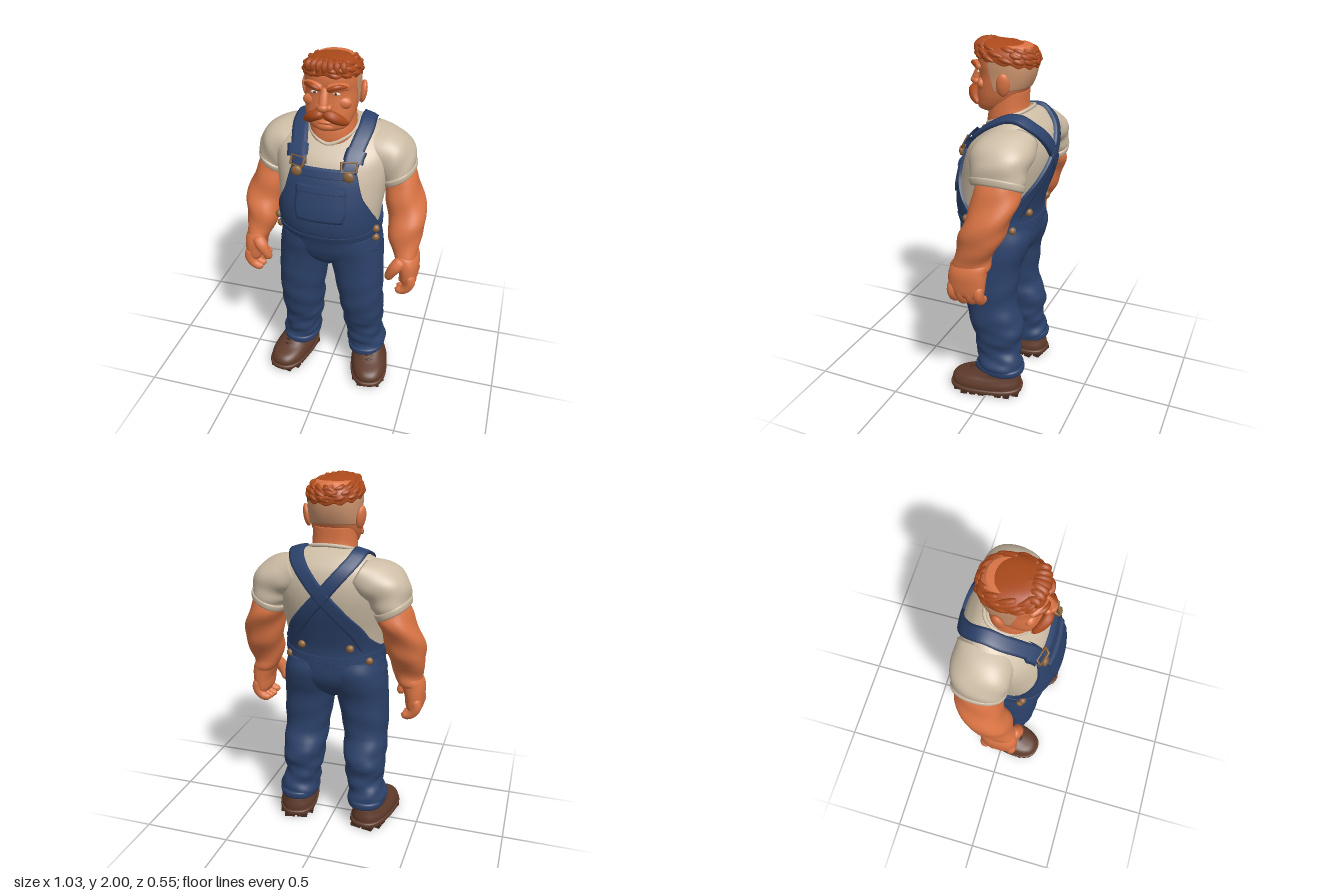
import * as THREE from 'three';
import { mergeVertices, mergeGeometries } from 'three/addons/utils/BufferGeometryUtils.js';

const V = (x, y, z) => new THREE.Vector3(x, y, z);
const { PI, sin, cos, abs, sign, min, max, sqrt } = Math;

// Smooth interpolation of rows keyed by their first column
function at(rows, t) {
  const n = rows.length - 1;
  let i = 0;
  while (i < n - 1 && t > rows[i + 1][0]) i++;
  const a = rows[i], b = rows[i + 1], z = rows[max(i - 1, 0)], c = rows[min(i + 2, n)];
  const h = b[0] - a[0], s = min(1, max(0, (t - a[0]) / h));
  return a.map((v, k) => {
    const m0 = (b[k] - z[k]) / (b[0] - z[0]) * h, m1 = (c[k] - v) / (c[0] - a[0]) * h;
    return v + s * (m0 + s * (3 * (b[k] - v) - 2 * m0 - m1 + s * (2 * (v - b[k]) + m0 + m1)));
  });
}
// Surface from a rule giving the point at column i, row j
function grid(nu, nv, fn) {
  const pos = [], idx = [];
  for (let j = 0; j <= nv; j++) for (let i = 0; i <= nu; i++) pos.push(...fn(i, j).toArray());
  for (let j = 0; j < nv; j++) for (let i = 0; i < nu; i++) {
    const a = j * (nu + 1) + i, b = a + nu + 1;
    idx.push(a, b, a + 1, a + 1, b, b + 1);
  }
  const raw = new THREE.BufferGeometry().setAttribute('position', new THREE.Float32BufferAttribute(pos, 3)).setIndex(idx);
  const g = mergeVertices(raw, 1e-5);
  g.computeVertexNormals();
  return g;
}
// Section rows: [y, centre x, half width, front z, back z, roundness, tilt]
const sections = rows => rows.map(([y, cx, rx, zf, zb, p = 2.3, tilt = 0]) => [y, cx, rx, zf, zb, p, tilt]);
function ring([y, cx, rx, zf, zb, p, tilt], a, off = 0) {
  const c = cos(a), s = sin(a), x = (rx + off) * sign(c) * abs(c) ** (2 / p);
  return V(cx + x * cos(tilt), y + x * sin(tilt), (zf + zb) / 2 + ((zf - zb) / 2 + off) * sign(s) * abs(s) ** (2 / p));
}
function loft(raw, fold = () => 0, steps = 48, seg = 44) {
  const rows = sections(raw), y0 = rows[0][0], y1 = rows.at(-1)[0];
  return grid(seg, steps + 2, (i, j) => {
    const r = at(rows, y0 + (y1 - y0) * min(1, max(0, (j - 1) / steps))), a = i / seg * 2 * PI;
    return j === 0 || j === steps + 2 ? V(r[1], r[0], (r[3] + r[4]) / 2) : ring(r, a, fold(r[0], a));
  });
}
// Layer over a loft between two heights that vary with the angle
function shell(raw, off, lo, hi, a0 = 0, a1 = 2 * PI, seg = 140, steps = 24) {
  const rows = sections(raw);
  return grid(seg, steps + 2, (i, j) => {
    const a = a0 + (a1 - a0) * i / seg, t = min(1, max(0, (j - 1) / steps)), l = lo(a);
    return ring(at(rows, l + (hi(a) - l) * t), a, j === 0 || j === steps + 2 ? -0.008 : off);
  });
}
// Rounded tapering tube through points
function limb(pts, radii, seg = 12, steps = 20) {
  const curve = new THREE.CatmullRomCurve3(pts.map(p => V(...p)));
  const f = curve.computeFrenetFrames(steps), rr = radii.map((r, i) => [i / (radii.length - 1), r]);
  return grid(seg, steps, (i, j) => {
    const t = j / steps, e = min(1, t * 6, (1 - t) * 6), r = at(rr, t)[1] * sqrt(max(0, 1 - (1 - e) ** 2)), a = -i / seg * 2 * PI;
    return curve.getPointAt(t).addScaledVector(f.normals[j], r * cos(a)).addScaledVector(f.binormals[j], r * sin(a));
  });
}
const ball = (x, y, z, sx, sy, sz) => new THREE.SphereGeometry(1, 20, 14).deleteAttribute('uv').scale(sx, sy, sz).translate(x, y, z);
function mirrored(g) {
  const m = g.clone().scale(-1, 1, 1), ix = m.index.array;
  for (let i = 0; i < ix.length; i += 3) [ix[i], ix[i + 1]] = [ix[i + 1], ix[i]];
  return m;
}
const TORSO = sections([[1.0, 0, .262, .215, -.18], [1.1, 0, .268, .245, -.18], [1.2, 0, .28, .245, -.205], [1.3, 0, .295, .225, -.235],
  [1.4, 0, .31, .195, -.255], [1.48, 0, .31, .155, -.255], [1.55, 0, .285, .08, -.235], [1.595, 0, .23, .02, -.2],
  [1.625, 0, .17, -.035, -.168], [1.65, 0, .03, -.09, -.12]]);
// Drops a point onto the torso, then lifts it by off
function drape(p, off) {
  const c = V(0, min(p.y, 1.4), -.03), d = p.clone().sub(c).normalize();
  let lo = 0, hi = .7;
  for (let k = 0; k < 24; k++) {
    const m = (lo + hi) / 2, q = c.clone().addScaledVector(d, m), [, , rx, zf, zb, e] = at(TORSO, q.y);
    const inside = q.y < 1.65 && abs(q.x / rx) ** e + abs((q.z - (zf + zb) / 2) / ((zf - zb) / 2)) ** e < 1;
    if (inside) lo = m; else hi = m;
  }
  return c.addScaledVector(d, lo + off);
}
// Raised cloth plate on the chest; half(t) gives its half width
function plate(y0, y1, half, off) {
  return grid(18, 14, (i, j) => {
    const t = min(1, max(0, (j - 1) / 12)), u = min(1, max(-1, (i - 9) / 8));
    return drape(V(-u * half(t), y0 + (y1 - y0) * t, .25), i % 18 === 0 || j % 14 === 0 ? .006 : off);
  });
}
function ribbon(pts, w, off) {
  const curve = new THREE.CatmullRomCurve3(pts.map(p => V(...p)));
  return grid(8, 60, (i, j) => {
    const t = j / 60, p = curve.getPointAt(t), n = p.clone().sub(V(0, min(p.y, 1.4), -.03)).normalize();
    const side = n.cross(curve.getTangentAt(t)).normalize(), u = min(1, max(-1, (i - 4) / 3));
    return drape(p.addScaledVector(side, u * w), i % 8 === 0 ? -.006 : off);
  });
}
// Straight-line lookup in a table of pairs
function linear(tab, t) {
  const i = max(1, tab.findIndex(r => r[0] >= t - 1e-9)), a = tab[i - 1], b = tab[i];
  return a[1] + (b[1] - a[1]) * (t - a[0]) / (b[0] - a[0]);
}

export function createModel() {
  const root = new THREE.Group();
  const mat = (name, color, side = THREE.FrontSide) => Object.assign(new THREE.MeshStandardMaterial({ color, side }), { name });
  const skin = mat('skin', 0xda7444), denim = mat('denim', 0x2c426b, THREE.DoubleSide), shirt = mat('shirt cream', 0xcdbda6);
  const hair = mat('ginger hair', 0xac4a1b), stubble = mat('shaved hair', 0xcf9670, THREE.DoubleSide), leather = mat('leather', 0x5f3b2b);
  const sole = mat('sole', 0x452c21), brass = mat('brass', 0x8c6339), white = mat('eye white', 0xe6dccb);
  const add = (name, g, m) => root.add(Object.assign(new THREE.Mesh(g, m), { name }));
  const pair = (name, g, m) => { add(name + 'Left', g, m); add(name + 'Right', mirrored(g), m); };

  // Shirt
  add('shirtBody', loft(TORSO), shirt);
  pair('sleeve', loft([[1.325, .345, .093, .045, -.222, 2.2, .47], [1.35, .34, .1, .053, -.228, 2.2, .47], [1.4, .327, .113, .06, -.235, 2.2, .6],
    [1.45, .295, .118, .07, -.24, 2.2, .78], [1.485, .24, .11, .07, -.245, 2.2, .95], [1.52, .17, .085, .04, -.24, 2.2, 1.1]],
    (y, a) => .003 * sin(y * 60 + a * 3)), shirt);
  pair('sleeveCuff', loft([[1.318, .347, .094, .046, -.224, 2.2, .47], [1.324, .346, .1, .052, -.23, 2.2, .47],
    [1.35, .34, .106, .058, -.234, 2.2, .47], [1.357, .338, .1, .05, -.228, 2.2, .47]], undefined, 12), shirt);
  const collar = new THREE.CatmullRomCurve3([[0, 1.54, .1], [.08, 1.57, .072], [.128, 1.61, -.02], [.1, 1.642, -.11],
    [0, 1.655, -.14], [-.1, 1.642, -.11], [-.128, 1.61, -.02], [-.08, 1.57, .072]].map(p => V(...p)), true);
  add('collar', new THREE.TubeGeometry(collar, 60, .01, 8, true), shirt);

  // Overalls: bib, back panel and sides in one layer whose top edge follows the angle
  const bibEdge = [[0, 1.44], [.48, 1.44], [.56, 1.36], [.64, 1.3], [.8, 1.23], [.915, 1.17], [1, 1.1]];
  const backEdge = [[0, 1.43], [.1, 1.41], [.28, 1.345], [.5, 1.265], [.75, 1.18], [1, 1.1]];
  const topEdge = a => linear(sin(a) >= 0 ? bibEdge : backEdge, min(1, abs(cos(a))));
  const hemEdge = a => 1.022 + .03 * cos(a) ** 2;
  add('bibAndBackPanel', shell(TORSO, .014, hemEdge, topEdge), denim);
  add('waistband', shell(TORSO, .019, hemEdge, a => hemEdge(a) + .04), denim);
  add('bibHem', plate(1.4, 1.44, () => .172, .021), denim);
  add('bibPocket', plate(1.17, 1.35, t => .12 + .022 * min(1, t * 3), .027), denim);
  add('bibPocketHem', plate(1.325, 1.357, () => .146, .031), denim);
  pair('strap', ribbon([[.137, 1.44, .19], [.15, 1.5, .15], [.165, 1.56, .08], [.175, 1.605, 0], [.172, 1.635, -.09],
    [.15, 1.595, -.2], [.08, 1.51, -.26], [0, 1.415, -.265], [-.1, 1.3, -.24], [-.17, 1.21, -.19], [-.22, 1.12, -.14]], .036, .018), denim);
  pair('strapFold', ribbon([[.147, 1.485, .16], [.152, 1.51, .145], [.157, 1.535, .115]], .043, .034), denim);
  const frame = drape(V(.147, 1.472, .2), .03).toArray();
  pair('buckle', new THREE.TorusGeometry(.055, .008, 8, 4).rotateZ(PI / 4).scale(1, .62, 1).rotateX(-.5).rotateY(.3).translate(...frame), brass);
  pair('bibButton', ball(...drape(V(.138, 1.418, .2), .026).toArray(), .029, .029, .016), brass);
  const studs = [[.25, 1.09, .11], [.255, 1.025, .1], [.15, 1.12, -.2], [.24, 1.04, -.13]];
  pair('sideButtons', mergeGeometries(studs.map(p => ball(...drape(V(...p), .019).toArray(), .022, .022, .02))), brass);

  // Trousers
  const pelvis = sections([[.79, 0, .04, .1, -.08], [.85, 0, .17, .168, -.145], [.92, 0, .28, .205, -.182], [1, 0, .276, .226, -.19], [1.05, 0, .27, .238, -.186]]);
  const folds = (y, a) => .007 * sin(y * 42 + a * 2) * max(0, 1 - y / .85) + .006 * sin(y * 75 - a * 3) * max(0, 1 - y / .5);
  add('hips', loft(pelvis), denim);
  pair('trouserLeg', loft([[.13, .205, .093, .08, -.16], [.15, .208, .102, .092, -.178], [.19, .208, .106, .092, -.18], [.235, .198, .104, .092, -.16],
    [.3, .188, .104, .102, -.155], [.4, .186, .117, .125, -.168], [.48, .181, .121, .15, -.155], [.56, .177, .124, .165, -.122],
    [.7, .165, .136, .18, -.13], [.8, .152, .144, .186, -.142], [.88, .138, .155, .194, -.17], [.96, .125, .155, .21, -.188],
    [1.03, .115, .15, .215, -.175]], folds, 90), denim);
  pair('trouserHem', loft([[.128, .205, .094, .082, -.165], [.135, .207, .106, .096, -.182], [.17, .209, .109, .098, -.186], [.178, .208, .1, .09, -.178]], undefined, 10), denim);
  const pocketLine = [[.98, 1.015], [.9, 1.0], [.72, .975], [.5, .95], [.25, .925]].map(([a, y]) => ring(at(pelvis, y), a, .003).toArray());
  pair('pocketEdge', limb(pocketLine, [.007, .007], 6), denim);

  // Arms and hands
  pair('arm', loft([[.865, .43, .03, .08, -.02], [.885, .428, .06, .118, -.068], [.95, .416, .075, .113, -.085], [1.02, .412, .094, .1, -.115],
    [1.08, .411, .104, .082, -.148], [1.13, .405, .104, .064, -.168], [1.2, .387, .102, .046, -.19], [1.28, .359, .097, .025, -.213],
    [1.36, .335, .085, .02, -.2], [1.42, .315, .07, 0, -.18]], (y, a) => .005 * sin(y * 34 + a * 2)), skin);
  pair('palm', loft([[.735, .452, .035, .115, -.05], [.76, .452, .048, .13, -.058], [.82, .451, .055, .14, -.066], [.88, .44, .064, .136, -.07],
    [.93, .422, .06, .112, -.075], [.965, .416, .03, .06, -.04]]), skin);
  const fingers = [.112, .062, .012, -.036].map((z, i) => limb([[.458, .82, z], [.472, .765, z], [.455, .715 + .006 * abs(i - 1), z],
    [.423, .692 + .008 * abs(i - 1), z], [.39, .7 + .008 * abs(i - 1), z]], [.028, .03, .026, .02]));
  pair('fingers', mergeGeometries(fingers), skin);
  pair('thumb', limb([[.425, .9, .1], [.39, .86, .125], [.362, .81, .125], [.347, .765, .11]], [.035, .036, .028, .022]), skin);

  // Boots, turned slightly outward
  const place = g => g.rotateY(.2).translate(.235, 0, 0);
  pair('boot', place(loft([[.035, 0, .104, .228, -.173, 2.5], [.07, 0, .106, .232, -.175, 2.4], [.1, 0, .097, .205, -.17], [.122, 0, .087, .14, -.165],
    [.16, 0, .08, .065, -.15], [.2, 0, .07, .04, -.13]])), leather);
  pair('bootWelt', place(loft([[.016, 0, .104, .234, -.178, 2.6], [.022, 0, .111, .24, -.183, 2.6], [.042, 0, .111, .24, -.183, 2.6], [.047, 0, .104, .23, -.175, 2.6]], undefined, 8)), leather);
  const treads = [-.15, -.102, -.054, .047, .097, .147, .197].flatMap((z, k) => [-1, 1].map(s =>
    new THREE.BoxGeometry(k % 6 ? .088 : .06, .022, .036).translate(s * (k % 6 ? .052 : .036), .011, z)));
  pair('bootTread', place(mergeGeometries(treads)), sole);
  const laces = [[.095, .142], [.07, .155], [.12, .128]].map(([z, y]) => limb([[-.05, y - .018, z - .01], [0, y, z], [.05, y - .018, z - .01]], [.007, .007], 8));
  pair('bootLaces', place(mergeGeometries(laces)), sole);

  // Neck and head
  add('neck', loft([[1.48, 0, .1, .08, -.12], [1.54, 0, .118, .097, -.13], [1.6, 0, .122, .095, -.13], [1.66, 0, .118, .08, -.115], [1.74, 0, .112, .06, -.115]]), skin);
  const head = [[1.625, 0, .06, .125, .02], [1.645, 0, .1, .15, -.02], [1.7, 0, .125, .152, -.085], [1.76, 0, .134, .146, -.125],
    [1.82, 0, .136, .14, -.15], [1.88, 0, .137, .148, -.16], [1.93, 0, .13, .14, -.155], [1.97, 0, .09, .1, -.12]];
  add('head', loft(head), skin);
  add('shavedSides', shell(head, .004, a => 1.745 - .015 * sin(a) + .11 * max(0, sin(a) * 3), () => 1.92, PI - .3, 2 * PI + .3), stubble);
  pair('ear', ball(0, 0, 0, .02, .06, .035).rotateZ(-.15).rotateY(.35).translate(.146, 1.788, -.038), skin);
  add('nose', mergeGeometries([limb([[0, 1.86, .138], [0, 1.81, .163], [0, 1.765, .178]], [.02, .023, .028]),
    ball(0, 1.77, .18, .03, .023, .026), ball(.025, 1.765, .163, .017, .017, .02), ball(-.025, 1.765, .163, .017, .017, .02)]), skin);
  pair('cheek', ball(.075, 1.775, .1, .05, .035, .03), skin);
  pair('browRidge', limb([[.008, 1.853, .148], [.06, 1.866, .142], [.112, 1.858, .1]], [.02, .022, .016]), skin);
  add('chin', ball(0, 1.655, .125, .06, .028, .034), skin);
  add('lowerLip', ball(0, 1.682, .152, .035, .011, .012), skin);
  pair('eye', ball(.055, 1.828, .132, .02, .007, .009), white);
  pair('pupil', ball(.053, 1.829, .139, .007, .006, .004), sole);
  pair('eyebrow', limb([[.015, 1.852, .166], [.06, 1.872, .162], [.113, 1.862, .112]], [.01, .013, .007]), hair);
  pair('moustache', limb([[-.005, 1.733, .165], [.035, 1.727, .172], [.075, 1.702, .152], [.115, 1.672, .115]], [.022, .028, .024, .01]), hair);

  // Hair cap with locks swept back over the sides and top
  const cap = sections([[1.84, 0, .138, .15, -.166], [1.9, 0, .142, .155, -.17], [1.935, 0, .136, .16, -.155], [1.96, 0, .115, .155, -.115],
    [1.978, 0, .085, .14, -.05], [1.988, 0, .045, .115, .03], [1.992, 0, .002, .075, .071]]);
  add('hairCap', shell(cap, 0, a => 1.89 + .027 * sin(a) + .006 * sin(a * 13), () => 1.992), hair);
  const locks = [];
  for (let r = 0; r < 3; r++) for (let k = 0; k < 14; k++) {
    const a = (k + r * .4) / 14 * 2 * PI + .12 * sin(k * 7 + r), sweep = cos(a) > 0 ? -.22 : .22, y = 1.905 + r * .024 + .016 * sin(a);
    const on = (t, dy, off) => ring(at(cap, y + dy), a + sweep * t, off).toArray();
    locks.push(limb([on(0, .012, -.008), on(1, 0, -.004), on(2, -.01 + .006 * sin(k * 5), -.003)], [.012, .014, .005], 8, 12));
  }
  for (let k = -3; k <= 3; k++) {
    const x = k * .026, w = .006 * sin(k * 5), d = .004 * k * k / 3;
    locks.push(limb([[x * 1.2, 1.925, .148 - d * 2], [x * 1.1, 1.965, .152 - d * 2], [x + w, 1.982 - d, .115], [x + w * 2, 1.978 - d * 1.5, .06]], [.011, .016, .017, .005], 8));
    locks.push(limb([[x, 1.975 - d, .08], [x + w, 1.967 - d, .02], [x - w, 1.955 - d, -.05], [x, 1.935 - d, -.115]], [.012, .015, .014, .005], 8));
  }
  add('hairLocks', mergeGeometries(locks), hair);
  return root;
}
